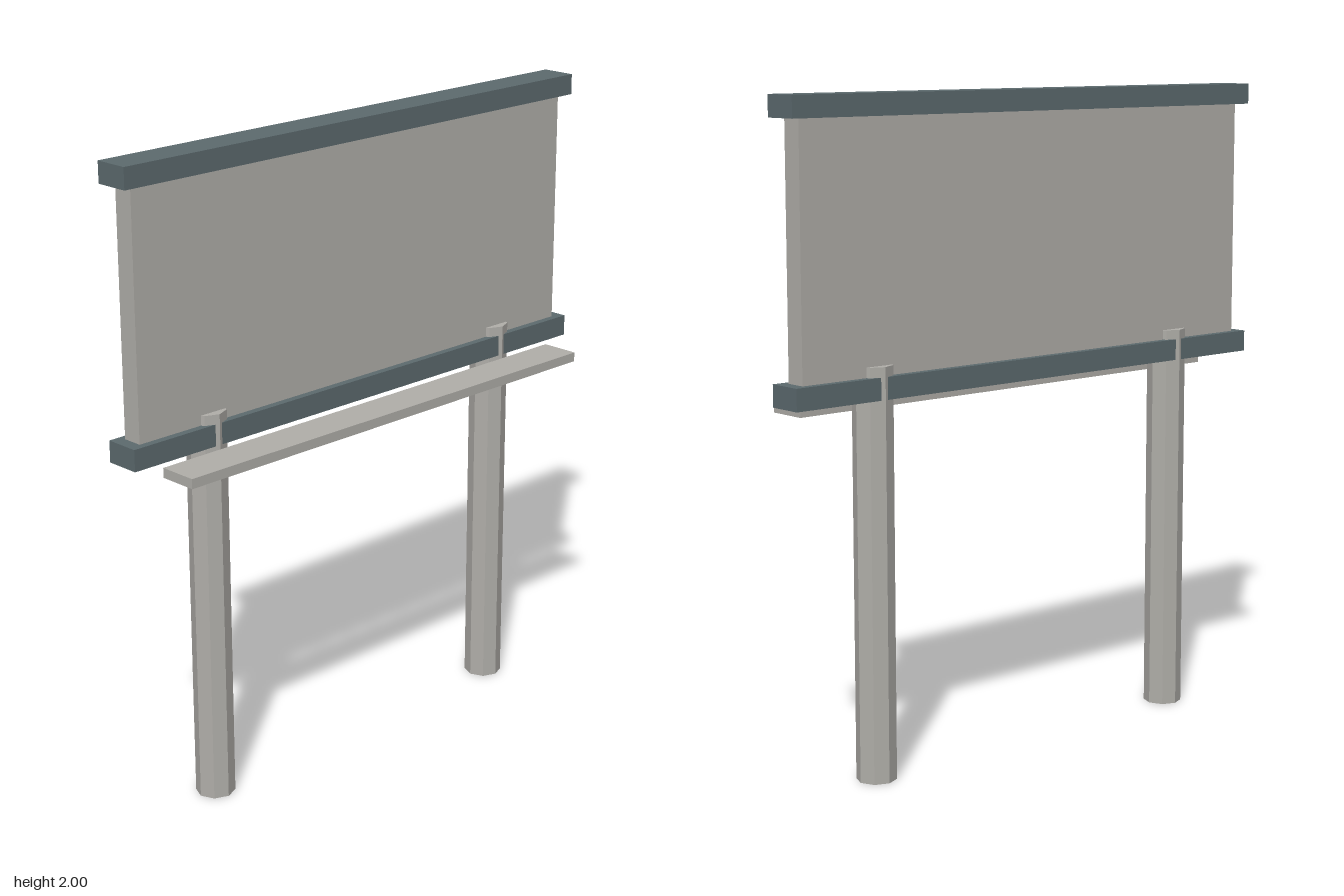
import * as THREE from 'three';

const CENTER_Z = -0.062; // shared depth plane of posts, beams and panel

export function createModel() {
  const group = new THREE.Group();
  group.name = 'billboard';

  const concrete = new THREE.MeshStandardMaterial({ color: 0xb0aea9 });
  concrete.name = 'warm grey';
  const steel = new THREE.MeshStandardMaterial({ color: 0x5c6a6e });
  steel.name = 'slate';

  const add = (name, geometry, material, x, y, z) => {
    const mesh = new THREE.Mesh(geometry, material);
    mesh.name = name;
    mesh.position.set(x, y, z);
    group.add(mesh);
  };

  // box given by its width, depth and vertical extent
  const slab = (name, material, width, y0, y1, depth, z) =>
    add(name, new THREE.BoxGeometry(width, y1 - y0, depth), material, 0, (y0 + y1) / 2, z);

  // display board between two frame beams
  slab('panel', concrete, 1.744, 1.19, 1.945, 0.064, CENTER_Z);
  slab('topBeam', steel, 1.82, 1.936, 2, 0.11, CENTER_Z);
  slab('bottomBeam', steel, 1.82, 1.134, 1.2, 0.11, CENTER_Z);

  // walkway ledge in front of the posts
  slab('catwalk', concrete, 1.626, 1.093, 1.123, 0.124, 0.06);

  // eight-sided posts, passing through the lower beam
  const height = 1.23;
  const postGeometry = new THREE.CylinderGeometry(0.06, 0.06, height, 8).toNonIndexed();
  postGeometry.computeVertexNormals();
  for (const [name, x] of [['leftPost', 0.6], ['rightPost', -0.6]]) {
    add(name, postGeometry, concrete, x, height / 2, CENTER_Z);
  }

  return group;
}
